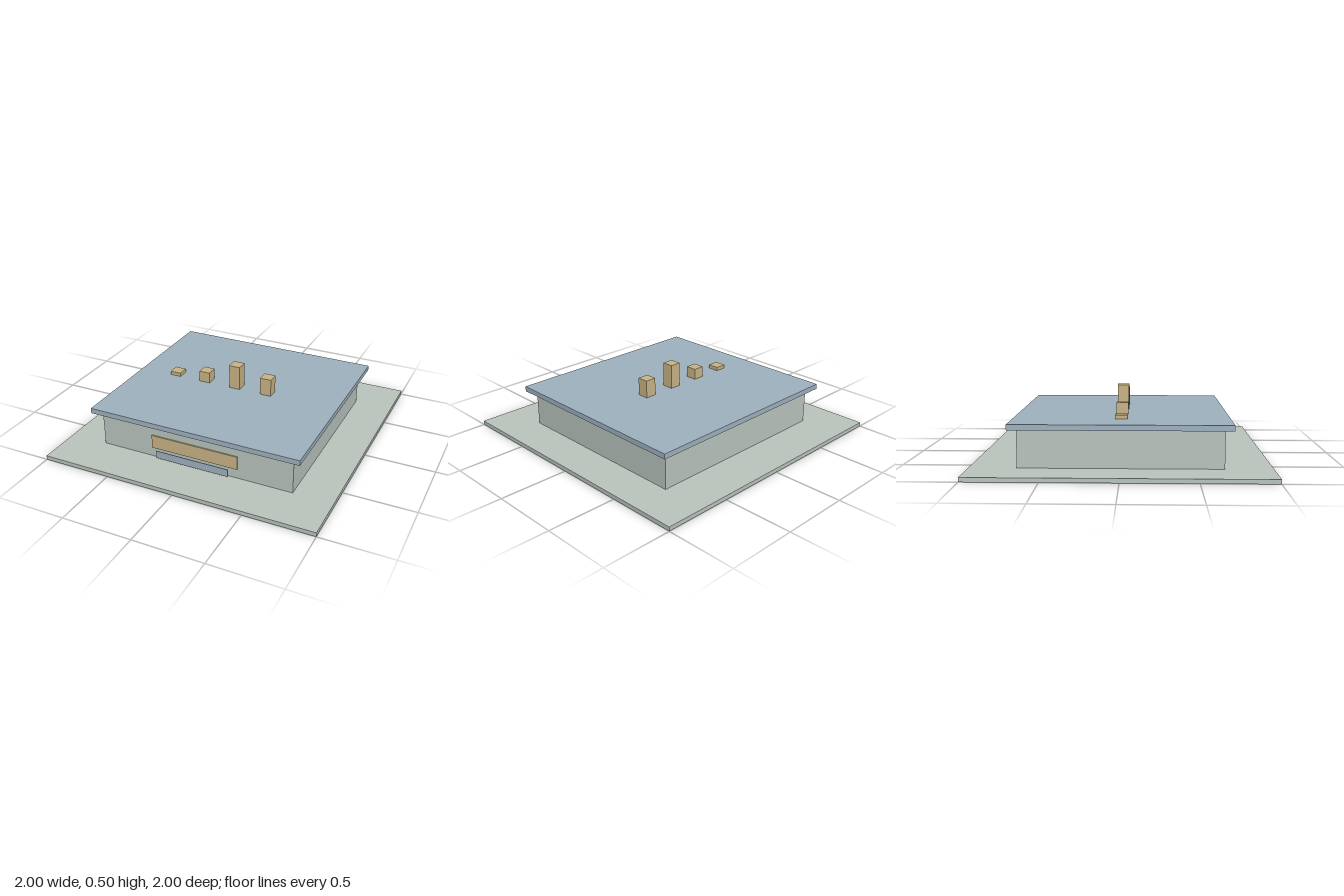
import * as THREE from 'three';

export function createModel() {
  const model = new THREE.Group();
  model.name = 'pavilion';

  const stone = new THREE.MeshStandardMaterial({ color: 0xbac5be });
  stone.name = 'pale stone';
  const slate = new THREE.MeshStandardMaterial({ color: 0x9fb2c0 });
  slate.name = 'slate blue';
  const sand = new THREE.MeshStandardMaterial({ color: 0xc9b485 });
  sand.name = 'sand';

  // Box given by its centre x and z, its bottom and top, and its width and depth
  function block(name, material, width, depth, bottom, top, x = 0, z = 0) {
    const mesh = new THREE.Mesh(new THREE.BoxGeometry(width, top - bottom, depth), material);
    mesh.name = name;
    mesh.position.set(x, (bottom + top) / 2, z);
    model.add(mesh);
  }

  // Ground slab, walls and overhanging roof
  block('baseSlab', stone, 2, 2, 0, 0.03);
  block('body', stone, 1.44, 1.36, 0.03, 0.29);
  block('roof', slate, 1.56, 1.47, 0.29, 0.328);

  // Front sign panel and the thin plate standing in front of it
  block('frontPanel', sand, 0.65, 0.009, 0.102, 0.2, 0, 0.6845);
  block('lowerPlate', slate, 0.544, 0.005, 0.052, 0.108, 0, 0.7225);

  // Row of rooftop posts of different heights
  [0.355, 0.408, 0.505, 0.457].forEach((top, i) => {
    block(`roofPost${i + 1}`, sand, 0.083, 0.083, 0.328, top, -0.49 + i * 0.245);
  });

  return model;
}
